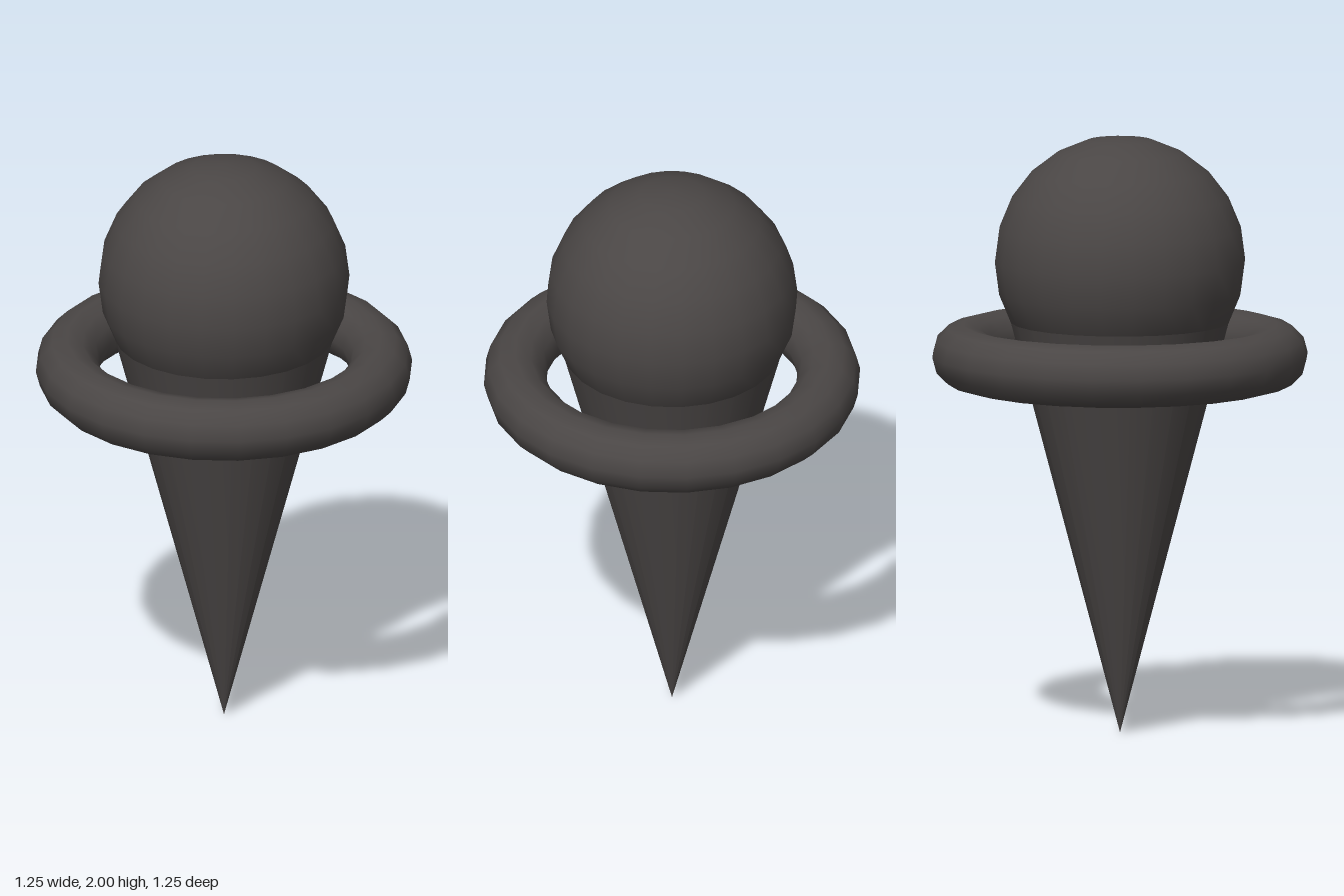
import * as THREE from 'three';

export function createModel() {
  const model = new THREE.Group();
  model.name = 'ringedCone';

  const charcoal = new THREE.MeshStandardMaterial({ color: 0x4a4645 });
  charcoal.name = 'charcoal';

  const radius = 0.418;            // shared by the ball and the cone rim
  const ballY = 2 - radius;        // the cone rim meets the ball's equator
  const sides = 24;

  function add(name, geometry, y) {
    const mesh = new THREE.Mesh(geometry, charcoal);
    mesh.name = name;
    mesh.position.y = y;
    model.add(mesh);
  }

  // Ball resting in the cone
  add('ball', new THREE.SphereGeometry(radius, sides, 12), ballY);

  // Cone with its point on the ground
  add('cone', new THREE.CylinderGeometry(radius, 0, ballY, sides), ballY / 2);

  // Loose horizontal ring around the ball and cone
  const ring = new THREE.TorusGeometry(radius * 1.25, radius * 0.25, 12, sides);
  ring.rotateX(Math.PI / 2);
  add('ring', ring, 1.266);

  return model;
}
